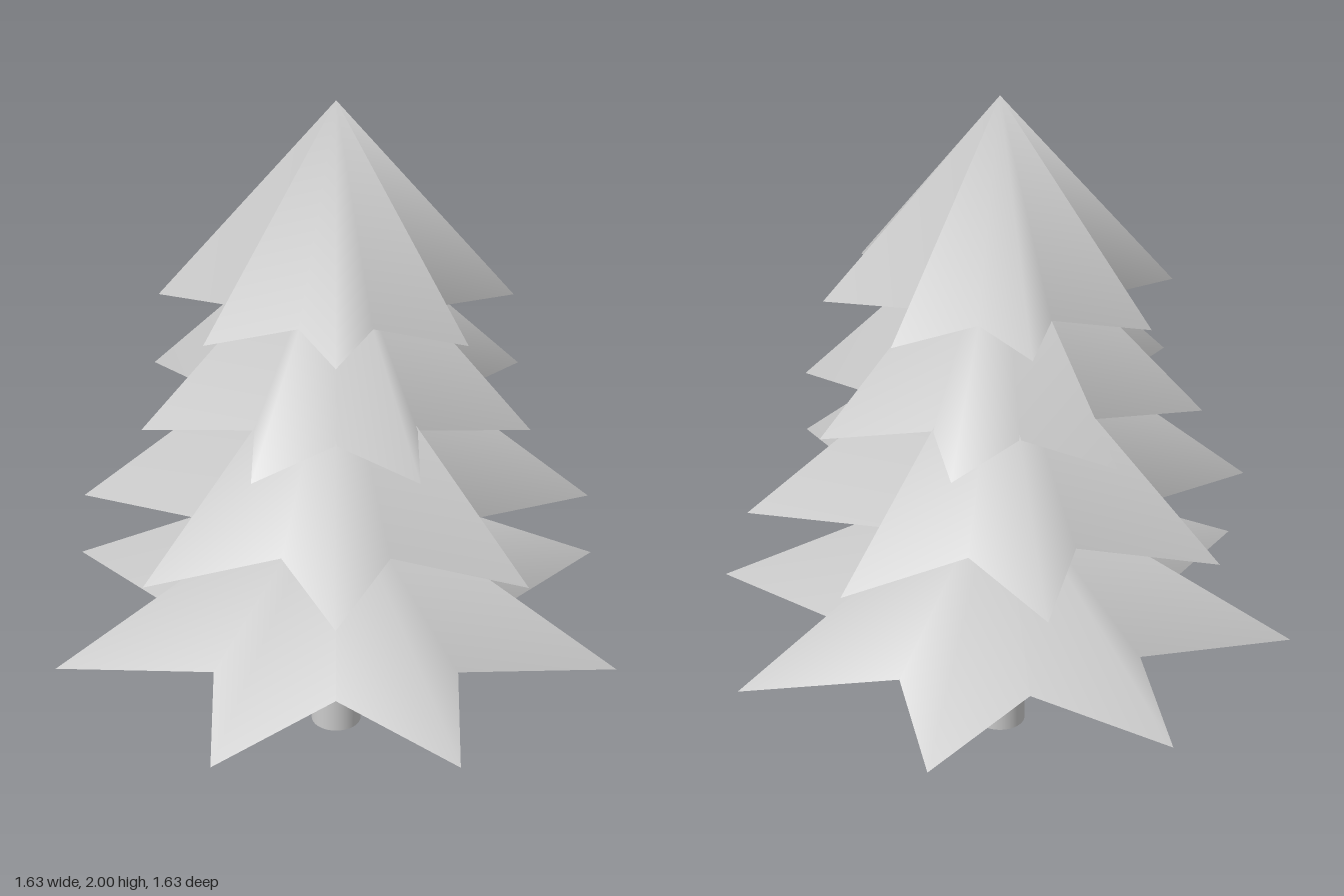
import * as THREE from 'three';

const material = new THREE.MeshStandardMaterial({ color: 0xcccccc });
const POINTS = 8;

// Star-shaped fan from a centre point to a zigzag rim
function starSheet(outer, inner, rimY, centreY, turn, faceUp) {
  const positions = [0, centreY, 0];
  const index = [];
  const count = POINTS * 2;
  for (let i = 0; i < count; i++) {
    const angle = turn + (i / count) * Math.PI * 2;
    const r = i % 2 ? inner : outer;
    positions.push(Math.cos(angle) * r, rimY, Math.sin(angle) * r);
    const current = i + 1;
    const next = ((i + 1) % count) + 1;
    index.push(0, ...(faceUp ? [next, current] : [current, next]));
  }
  const geometry = new THREE.BufferGeometry();
  geometry.setAttribute('position', new THREE.Float32BufferAttribute(positions, 3));
  geometry.setIndex(index);
  geometry.computeVertexNormals();
  return geometry;
}

// One tier of foliage: pleated cone with a shallow hollow underneath
function foliageTier({ name, outer, inner, base, top, hollow, turn }) {
  const tier = new THREE.Group();
  tier.name = name;
  const upper = new THREE.Mesh(starSheet(outer, inner, base, top, turn, true), material);
  upper.name = name + 'Upper';
  const under = new THREE.Mesh(starSheet(outer, inner, base, base + hollow, turn, false), material);
  under.name = name + 'Underside';
  tier.add(upper, under);
  return tier;
}

export function createModel() {
  const tree = new THREE.Group();
  tree.name = 'pineTree';

  // Trunk, ending inside the lowest tier
  const trunk = new THREE.Mesh(new THREE.CylinderGeometry(0.077, 0.077, 0.56, 32), material);
  trunk.name = 'trunk';
  trunk.position.y = 0.28;
  tree.add(trunk);

  // Foliage, alternate tiers turned by half a point
  const half = Math.PI / POINTS;
  const tiers = [
    { name: 'bottomTier', outer: 0.88, inner: 0.5, base: 0.4, top: 0.87, hollow: 0.12, turn: half },
    { name: 'lowerMiddleTier', outer: 0.745, inner: 0.4, base: 0.79, top: 1.385, hollow: 0.14, turn: 0 },
    { name: 'upperMiddleTier', outer: 0.587, inner: 0.322, base: 1.12, top: 1.69, hollow: 0.14, turn: half },
    { name: 'topTier', outer: 0.5, inner: 0.264, base: 1.435, top: 2, hollow: 0.14, turn: 0 },
  ];
  tiers.forEach((tier) => tree.add(foliageTier(tier)));
  return tree;
}
